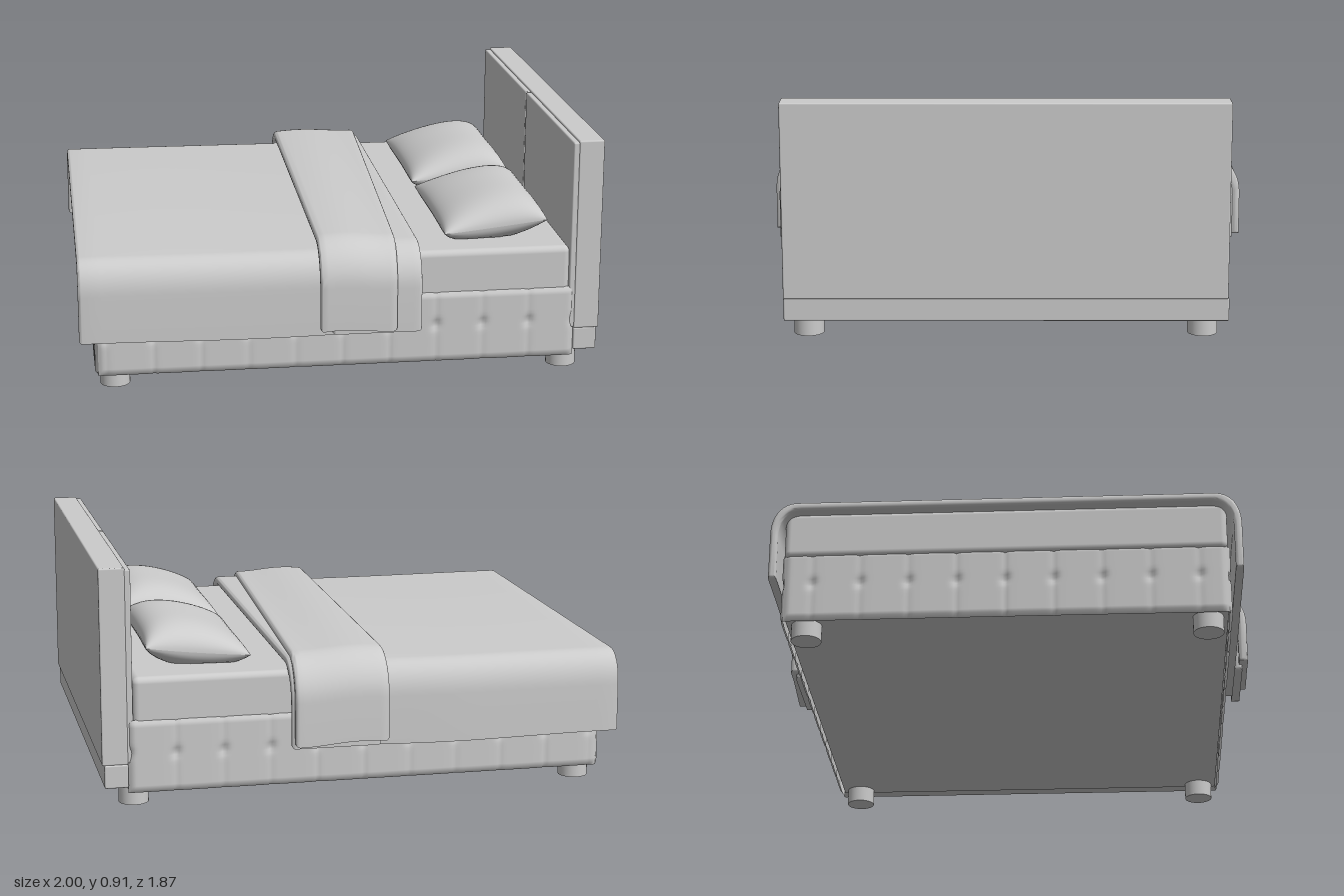
import * as THREE from 'three';
import { toCreasedNormals } from 'three/addons/utils/BufferGeometryUtils.js';
import { RoundedBoxGeometry } from 'three/addons/geometries/RoundedBoxGeometry.js';

const material = new THREE.MeshStandardMaterial({ color: 0xcccccc, side: THREE.DoubleSide });

function add(parent, name, geometry, x = 0, y = 0, z = 0) {
  const mesh = new THREE.Mesh(geometry, material);
  mesh.name = name;
  mesh.position.set(x, y, z);
  parent.add(mesh);
  return mesh;
}

// Box given by its limits on each axis, with softened edges
function block(parent, name, [x0, x1], [y0, y1], [z0, z1], r = 0.006) {
  const geometry = new RoundedBoxGeometry(x1 - x0, y1 - y0, z1 - z0, 3, r);
  return add(parent, name, geometry, (x0 + x1) / 2, (y0 + y1) / 2, (z0 + z1) / 2);
}

function bend(geometry, rule) {
  const p = geometry.attributes.position;
  const v = new THREE.Vector3();
  for (let i = 0; i < p.count; i++) {
    v.fromBufferAttribute(p, i);
    rule(v);
    p.setXYZ(i, v.x, v.y, v.z);
  }
  return geometry;
}

// Upholstered panel: vertical creases with a button dent halfway up each one
function tuftedPanel(length, height, first, spacing) {
  const geometry = new THREE.PlaneGeometry(length, height, Math.round(length * 110), 20);
  bend(geometry, (v) => {
    const d = Math.abs(v.x - first - spacing * Math.round((v.x - first) / spacing));
    const edge = Math.min(length / 2 - Math.abs(v.x), (height / 2 - Math.abs(v.y)) * 3);
    const crease = 0.005 * Math.exp(-d / 0.008);
    const dent = 0.012 * Math.exp(-(d * d + (v.y - 0.01) ** 2) / 0.0003);
    v.z = 0.012 * Math.min(1, edge / 0.02) - crease - dent;
  });
  geometry.computeVertexNormals();
  return geometry;
}

// Cloth laid over the mattress: a U-shaped section swept along the bed
function drape({ x0, x1, top, bottom, half, thick, r, lean = 0 }, rule) {
  const shape = new THREE.Shape();
  const side = (s, w, t, y0, up) => {
    const rr = r - (half - w) * 0.5;
    const shoulder = w - lean;
    if (up) {
      shape.lineTo(s * w, t - rr * 1.3);
      shape.bezierCurveTo(s * w, t - rr * 0.5, s * (shoulder - rr * 0.4), t, s * (shoulder - rr), t);
    } else {
      shape.lineTo(s * (shoulder - rr), t);
      shape.bezierCurveTo(s * (shoulder - rr * 0.4), t, s * w, t - rr * 0.5, s * w, t - rr * 1.3);
      shape.lineTo(s * w, y0);
    }
  };
  shape.moveTo(-half, bottom);
  side(-1, half, top, bottom, true);
  side(1, half, top, bottom, false);
  shape.lineTo(half - thick, bottom);
  side(1, half - thick, top - thick, bottom, true);
  side(-1, half - thick, top - thick, bottom, false);
  shape.closePath();
  const b = thick * 0.4;
  const geometry = new THREE.ExtrudeGeometry(shape, {
    depth: x1 - x0 - 2 * b, steps: 16, curveSegments: 12,
    bevelThickness: b, bevelSize: b, bevelOffset: -b, bevelSegments: 4,
  });
  geometry.translate(0, 0, b).rotateY(Math.PI / 2).translate(x0, 0, 0);
  if (rule) bend(geometry, rule);
  return toCreasedNormals(geometry, 0.8);
}

// Half of a pillow, above (sign 1) or below (sign -1) the seam
function pillowHalf(sign) {
  const geometry = new THREE.PlaneGeometry(2, 2, 28, 36).rotateX(-sign * Math.PI / 2);
  bend(geometry, (p) => {
    const u = Math.sin(p.x * Math.PI / 2);
    const v = Math.sin(p.z * Math.PI / 2);
    const seam = 0.553 + 0.022 * u - 0.008 * (1 - u * u);
    const puff = Math.sqrt(Math.max(0, (1 - u * u) * (1 - v ** 4)));
    p.x = 0.2 * u * (1 - 0.04 * (1 - v * v));
    p.z = 0.34 * v * (1 - 0.06 * (1 - u * u));
    p.y = sign > 0 ? seam + 0.1 * puff * (1 + 0.2 * u) : Math.max(0.496, seam - 0.09 * puff);
  });
  geometry.computeVertexNormals();
  return geometry;
}

export function createModel() {
  const bed = new THREE.Group();
  bed.name = 'bed';

  // Base with tufted panels on both sides and the foot
  const base = new THREE.Group();
  base.name = 'base';
  bed.add(base);
  block(base, 'baseCore', [-0.925, 0.9], [0.064, 0.33], [-0.82, 0.82]);
  const h = 0.28, midY = 0.195;
  add(base, 'leftSidePanel', tuftedPanel(1.83, h, 0.015, 0.18), -0.015, midY, 0.823);
  add(base, 'rightSidePanel', tuftedPanel(1.83, h, -0.015, 0.18), -0.015, midY, -0.827).rotation.y = Math.PI;
  add(base, 'footPanel', tuftedPanel(1.65, h, 0, 0.18), -0.93, midY, -0.002).rotation.y = -Math.PI / 2;

  // Four round feet
  for (const x of [-0.865, 0.872]) {
    for (const z of [-0.745, 0.745]) {
      add(bed, 'foot', new THREE.CylinderGeometry(0.057, 0.057, 0.075, 32), x, 0.0375, z);
    }
  }

  // Headboard: back board, plinth and two front panels
  const headboard = new THREE.Group();
  headboard.name = 'headboard';
  bed.add(headboard);
  block(headboard, 'backBoard', [0.9, 0.998], [0.165, 0.912], [-0.83, 0.83]);
  block(headboard, 'plinth', [0.9, 0.99], [0.078, 0.167], [-0.835, 0.83]);
  block(headboard, 'rightPanel', [0.879, 0.905], [0.17, 0.905], [-0.828, -0.006]);
  block(headboard, 'leftPanel', [0.879, 0.905], [0.17, 0.905], [0.006, 0.828]);

  block(bed, 'mattress', [-0.95, 0.88], [0.31, 0.496], [-0.83, 0.825], 0.025);

  // Bedding: duvet, its turned edge, and the folded layer on top
  add(bed, 'duvet', drape(
    { x0: -1, x1: 0.22, top: 0.514, bottom: 0.2, half: 0.878, thick: 0.03, r: 0.1 },
    (v) => {
      v.y += 0.004 * Math.sin(v.x * 5) * (v.y < 0.3 ? 1 : 0.3);
      if (v.z < 0) v.z += 0.014 * THREE.MathUtils.smoothstep(v.x, -0.4, 0.1);
    }));
  add(bed, 'duvetTurnedEdge', drape(
    { x0: -0.05, x1: 0.293, top: 0.54, bottom: 0.21, half: 0.91, thick: 0.034, r: 0.12, lean: 0.02 }));
  add(bed, 'foldedLayer', drape(
    { x0: -0.088, x1: 0.24, top: 0.566, bottom: 0.228, half: 0.932, thick: 0.036, r: 0.13, lean: 0.03 },
    (v) => {
      const t = (v.x + 0.088) / 0.328;
      v.x += t * -0.045 * (v.z / 0.93) + (1 - t) * -0.01 * v.z;
      v.y += 0.006 * Math.sin(t * 5);
      if (v.z < 0) v.z -= 0.012 * t - 0.004;
    }));

  // Two pillows
  for (const [name, z] of [['rightPillow', -0.36], ['leftPillow', 0.385]]) {
    const pillow = new THREE.Group();
    pillow.name = name;
    pillow.position.set(0.61, 0, z);
    add(pillow, 'pillowTop', pillowHalf(1));
    add(pillow, 'pillowUnderside', pillowHalf(-1));
    bed.add(pillow);
  }

  return bed;
}
